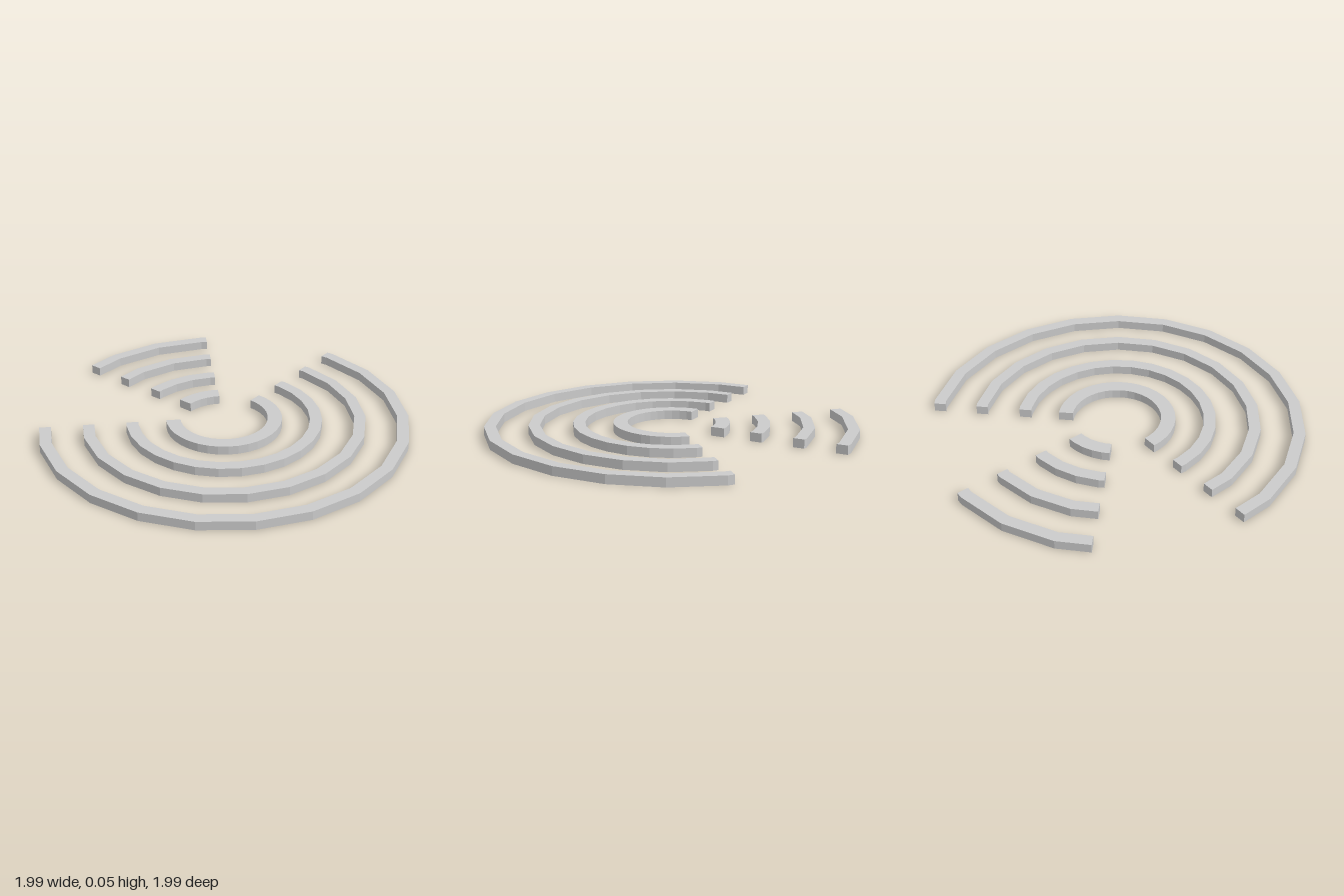
import * as THREE from 'three';

const HEIGHT = 0.05;
const CENTRE_X = -0.04, CENTRE_Z = -0.034;
const rad = THREE.MathUtils.degToRad;

// Concentric rings: outer radius, inner radius, facets in a full turn
const RINGS = [
  [1.04, 0.975, 22],
  [0.797, 0.733, 22],
  [0.551, 0.483, 28],
  [0.326, 0.246, 36],
];

// Points along a regular polygon between two cut angles (degrees)
function polygonArc(radius, sides, from, to) {
  const step = 360 / sides;
  const angles = [from];
  for (let k = Math.ceil(from / step + 0.01); k * step < to - 0.1; k++) angles.push(k * step);
  angles.push(to);
  return angles.map((a) => {
    // distance to the polygon's edge at this angle
    const offset = a - (Math.floor(a / step + 1e-6) + 0.5) * step;
    const r = radius * Math.cos(rad(step / 2)) / Math.cos(rad(offset));
    return new THREE.Vector2(r * Math.cos(rad(a)), r * Math.sin(rad(a)));
  });
}

// A flat curved bar with radial ends, lying on the ground
function curvedBar(outer, inner, sides, from, to) {
  const shape = new THREE.Shape([
    ...polygonArc(outer, sides, from, to),
    ...polygonArc(inner, sides, from, to).reverse(),
  ]);
  const geometry = new THREE.ExtrudeGeometry(shape, { depth: HEIGHT, bevelEnabled: false });
  geometry.rotateX(Math.PI / 2);
  geometry.translate(CENTRE_X, HEIGHT, CENTRE_Z);
  return geometry;
}

export function createModel() {
  const group = new THREE.Group();
  group.name = 'concentricArcs';
  const material = new THREE.MeshStandardMaterial({ color: 0xcccccc, flatShading: true });

  RINGS.forEach(([outer, inner, sides], i) => {
    // Long arc around the front and left, short arc at the back right corner
    const longArc = new THREE.Mesh(curvedBar(outer, inner, sides, -67.5, 157.5), material);
    longArc.name = `longArc${i + 1}`;
    const shortArc = new THREE.Mesh(curvedBar(outer, inner, sides, 202.5, 247.5), material);
    shortArc.name = `shortArc${i + 1}`;
    group.add(longArc, shortArc);
  });
  return group;
}
